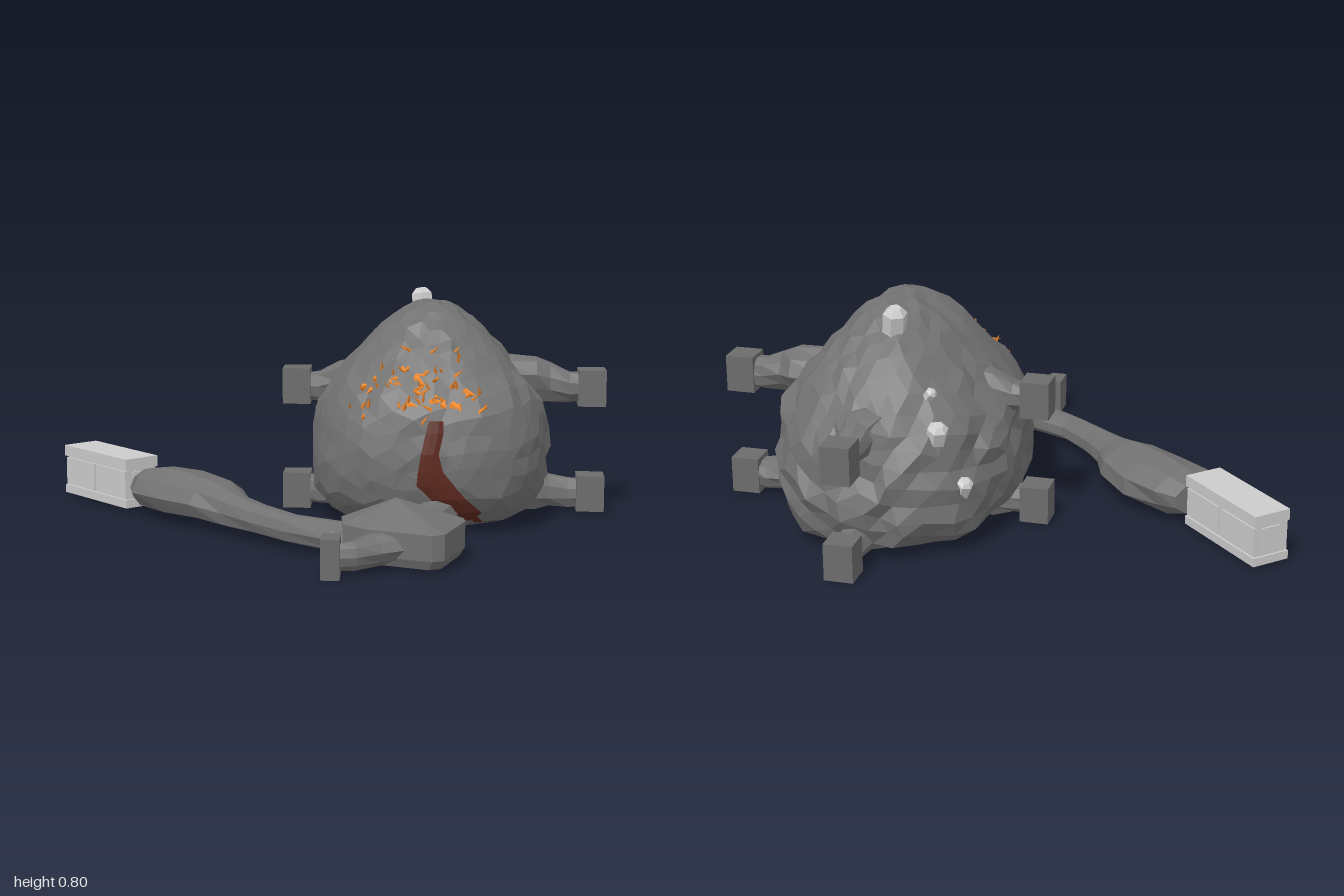
import * as THREE from 'three';
import { mergeVertices } from 'three/addons/utils/BufferGeometryUtils.js';
import { ConvexGeometry } from 'three/addons/geometries/ConvexGeometry.js';

const mat = (color) => new THREE.MeshStandardMaterial({ color, flatShading: true });
const ROCK = mat(0x727272), CUBE = mat(0x6c6c6c), PALE = mat(0xcccccc), RED = mat(0x5e2a20), ORANGE = mat(0xf08a30);

let seed = 7;
const rand = (a = 0, b = 1) => {
  seed = (seed * 16807) % 2147483647;
  return a + (b - a) * seed / 2147483647;
};

// Mound outline: [y, xMin, xMax, zBack, zFront]
const OUTLINE = [
  [0.02, 0.08, 0.65, -0.62, 0.15], [0.06, 0.0, 0.73, -0.7, 0.22], [0.13, -0.05, 0.78, -0.74, 0.27],
  [0.22, -0.06, 0.79, -0.74, 0.29], [0.32, -0.05, 0.79, -0.71, 0.29], [0.42, -0.03, 0.77, -0.68, 0.27],
  [0.5, 0.02, 0.72, -0.63, 0.23], [0.57, 0.08, 0.66, -0.57, 0.165], [0.64, 0.14, 0.6, -0.5, 0.1],
  [0.7, 0.2, 0.54, -0.43, 0.05], [0.75, 0.27, 0.47, -0.34, -0.01], [0.772, 0.32, 0.42, -0.25, -0.07],
];
// Squareness of the mound's plan, boxier at the front
const CZ = -0.18, FRONT_POW = 2.8, BACK_POW = 2.3;

function sliceAt(y) {
  let i = 0;
  while (i < OUTLINE.length - 2 && OUTLINE[i + 1][0] < y) i++;
  const a = OUTLINE[i], b = OUTLINE[i + 1];
  const t = THREE.MathUtils.clamp((y - a[0]) / (b[0] - a[0]), 0, 1);
  const [, x0, x1, z0, z1] = a.map((v, k) => v + (b[k] - v) * t);
  return { cx: (x0 + x1) / 2, hx: (x1 - x0) / 2, back: CZ - z0, front: z1 - CZ };
}

// Point on the mound at height y and angle a (a = PI / 2 is the front)
function moundPoint(y, a, grow = 1) {
  const s = sliceAt(y), c = Math.cos(a), n = Math.sin(a), pow = n > 0 ? FRONT_POW : BACK_POW;
  const r = grow / Math.pow(Math.abs(c) ** pow + Math.abs(n) ** pow, 1 / pow);
  return new THREE.Vector3(s.cx + s.hx * r * c, y, CZ + (n > 0 ? s.front : s.back) * r * n);
}

function frontZ(x, y) {
  const s = sliceAt(y), u = Math.min(Math.abs((x - s.cx) / s.hx), 0.98);
  return CZ + s.front * Math.pow(1 - u ** FRONT_POW, 1 / FRONT_POW);
}

// Faceted sphere moved onto the mound outline, rougher low down and at the back
function moundGeometry() {
  const ball = new THREE.IcosahedronGeometry(1, 7).rotateX(0.7).rotateZ(0.4);
  ball.deleteAttribute('normal');
  ball.deleteAttribute('uv');
  const g = mergeVertices(ball, 1e-3), pos = g.attributes.position, d = new THREE.Vector3();
  for (let i = 0; i < pos.count; i++) {
    d.fromBufferAttribute(pos, i);
    const a = Math.atan2(d.z, d.x), r = Math.hypot(d.x, d.z);
    const t = Math.max(0, (d.y + 0.75) / 1.75);
    const y = 0.02 + 0.752 * Math.min(t / 0.985, 1);
    const cap = Math.min(1, r / (d.y < 0 ? 0.66 : 0.23));
    const front = Math.sin(a) > 0.3;
    const amp = front ? 0.01 : y < 0.5 ? 0.035 : 0.016;
    const wave = 0.012 * Math.sin(5 * a + 9 * y) + 0.01 * Math.sin(9 * a - 17 * y);
    const p = moundPoint(y, a + rand(-0.035, 0.035), cap * (0.993 + wave * (front ? 0.4 : 1) + rand(-amp, amp)));
    if (t > 0) p.y += rand(-0.011, 0.008);
    pos.setXYZ(i, p.x, p.y, p.z);
  }
  g.computeVertexNormals();
  return g;
}

// Closed surface through a list of equal rings, with fan caps
function skin(rings) {
  const n = rings[0].length, pos = [], idx = [];
  rings.forEach((r) => r.forEach((p) => pos.push(p.x, p.y, p.z)));
  const centre = (r) => {
    const c = r.reduce((s, p) => s.add(p), new THREE.Vector3()).divideScalar(n);
    pos.push(c.x, c.y, c.z);
    return pos.length / 3 - 1;
  };
  const last = (rings.length - 1) * n, c0 = centre(rings[0]), c1 = centre(rings[rings.length - 1]);
  for (let j = 0; j < n; j++) {
    const k = (j + 1) % n;
    for (let i = 0; i < last; i += n) {
      idx.push(i + j, i + n + j, i + k, i + k, i + n + j, i + n + k);
    }
    idx.push(c0, j, k, c1, last + k, last + j);
  }
  const g = new THREE.BufferGeometry();
  g.setAttribute('position', new THREE.Float32BufferAttribute(pos, 3));
  g.setIndex(idx);
  g.computeVertexNormals();
  return g;
}

// Rough limb through rows of [x, y, z, halfWidth, halfHeight]
function limb(rows, jitter = 0.08, sides = 9) {
  return skin(rows.map(([x, y, z, w, h], i) => {
    const a = rows[Math.max(i - 1, 0)], b = rows[Math.min(i + 1, rows.length - 1)];
    const t = new THREE.Vector2(b[0] - a[0], b[2] - a[2]).normalize();
    return Array.from({ length: sides }, (_, j) => {
      const q = (j + 0.5) / sides * Math.PI * 2, r = 1 + rand(-jitter, jitter);
      const c = Math.cos(q) * w * r;
      return new THREE.Vector3(x - t.y * c, Math.max(0.015, y + Math.sin(q) * h * r), z + t.x * c);
    });
  }));
}

export function createModel() {
  seed = 7;
  const root = new THREE.Group();
  const add = (name, geo, material, parent = root) => {
    const m = new THREE.Mesh(geo, material);
    m.name = name;
    parent.add(m);
    return m;
  };
  const block = (name, material, size, at, parent) => {
    const m = add(name, new THREE.BoxGeometry(...size), material, parent);
    m.position.set(...at);
    return m;
  };

  add('mound', moundGeometry(), ROCK);

  // Stubs with end blocks on three sides, at two heights
  for (const [side, dx, dz, reach] of [['left', 1, 0, 0.575], ['right', -1, 0, 0.51], ['back', 0, -1, 0.615]]) {
    for (const [level, y] of [['Upper', 0.46], ['Lower', 0.075]]) {
      const dy = side === 'back' && level === 'Upper' ? -0.045 : 0;
      const at = (d, h, w, tall) => [0.385 + dx * d, y + dy + h, -0.225 + dz * d, w, tall];
      const lift = level === 'Upper' ? 0.025 : 0.01;
      add(side + level + 'Stub', limb([
        at(reach - 0.36, lift, 0.09, 0.085), at(reach - 0.21, lift, 0.09, 0.08), at(reach - 0.16, lift * 0.7, 0.062, 0.066),
        at(reach - 0.09, 0, 0.05, 0.055), at(reach - 0.02, 0, 0.045, 0.05)], 0.16), ROCK);
      block(side + level + 'Block', CUBE, [0.1, 0.13, 0.1], at(reach - 0.01, 0).slice(0, 3));
    }
  }

  // Neck, wedge-shaped joint and long arm
  add('neck', limb([[0.4, 0.09, 0.12, 0.11, 0.07], [0.39, 0.085, 0.25, 0.075, 0.055],
    [0.37, 0.08, 0.36, 0.055, 0.05], [0.35, 0.08, 0.45, 0.065, 0.055], [0.33, 0.08, 0.54, 0.11, 0.06]]), ROCK);
  const plan = [[0.09, 0.53], [0.22, 0.46], [0.42, 0.5], [0.49, 0.53], [0.495, 0.58], [0.43, 0.78], [0.39, 0.8], [0.18, 0.72], [0.1, 0.65]];
  const wedge = [new THREE.Vector3(0.27, 0.205, 0.55), new THREE.Vector3(0.38, 0.155, 0.72)];
  for (const [x, z] of plan) {
    wedge.push(new THREE.Vector3(x, 0.05, z), new THREE.Vector3(x, 0.135, z));
    wedge.push(new THREE.Vector3(0.3 + (x - 0.3) * 0.9, 0.02, 0.62 + (z - 0.62) * 0.9));
  }
  add('armJoint', new ConvexGeometry(wedge), ROCK);
  add('arm', limb([
    [0.2, 0.08, 0.59, 0.1, 0.06], [0.08, 0.075, 0.555, 0.075, 0.052], [-0.08, 0.075, 0.46, 0.052, 0.048],
    [-0.2, 0.08, 0.345, 0.058, 0.052], [-0.29, 0.085, 0.24, 0.072, 0.06], [-0.37, 0.1, 0.14, 0.13, 0.075],
    [-0.49, 0.1, 0.02, 0.145, 0.082], [-0.6, 0.1, -0.07, 0.13, 0.08], [-0.655, 0.1, -0.125, 0.085, 0.06]]), ROCK);
  add('jointStub', limb([[0.28, 0.08, 0.68, 0.09, 0.06], [0.2, 0.075, 0.755, 0.055, 0.05],
    [0.14, 0.07, 0.81, 0.036, 0.045], [0.08, 0.07, 0.825, 0.034, 0.045]]), ROCK);
  block('jointBlock', CUBE, [0.06, 0.13, 0.1], [0.073, 0.07, 0.828]);

  // Pale box at the end of the arm: recessed core inside a frame
  const box = new THREE.Group();
  box.name = 'endBox';
  box.position.set(-0.815, 0.11, -0.262);
  box.rotation.y = -0.8;
  root.add(box);
  block('core', PALE, [0.385, 0.17, 0.122], [0, 0, 0], box);
  block('lid', PALE, [0.4, 0.04, 0.14], [0, 0.07, 0], box);
  block('baseRail', PALE, [0.4, 0.03, 0.14], [0, -0.075, 0], box);
  for (const x of [-0.1, 0.1]) block('panel', PALE, [0.185, 0.1, 0.136], [x, -0.006, 0], box);
  block('endPlate', PALE, [0.396, 0.08, 0.07], [0, 0, 0], box);

  // Dark red streak down the front: [y, left, right]
  const streak = [[0.41, 0.37, 0.42], [0.37, 0.36, 0.42], [0.3, 0.345, 0.405], [0.24, 0.335, 0.42],
    [0.19, 0.33, 0.46], [0.14, 0.38, 0.5], [0.09, 0.43, 0.55], [0.04, 0.52, 0.6]];
  add('streak', skin(streak.map(([y, l, r]) => {
    const p = (t, out) => {
      const x = l + (r - l) * t;
      return new THREE.Vector3(x, y, frontZ(x, y) + out);
    };
    return [p(0.3, 0.008), p(0.7, 0.008), p(1, 0.003), p(0.5, -0.04), p(0, 0.003)];
  })), RED);

  // Stand a mesh's y axis along a direction
  const up = new THREE.Vector3(0, 1, 0);
  const aim = (m, dir) => m.quaternion.setFromUnitVectors(up, dir.normalize());

  // Orange shards on the upper front
  const shards = new THREE.Group();
  shards.name = 'shards';
  root.add(shards);
  for (let i = 0; i < 65; i++) {
    const y = 0.4 + 0.25 * (0.6 * rand() + 0.4 * rand()), spread = 0.36 - 0.9 * (y - 0.4);
    const x = 0.34 + spread * (rand(-1, 1) * 0.75 + rand(-1, 1) * 0.25);
    const m = add('shard', new THREE.ConeGeometry(1, 2, 4), ORANGE, shards);
    m.scale.set(rand(0.006, 0.01), rand(0.018, 0.034), rand(0.01, 0.016));
    m.position.set(x, y, frontZ(x, y) + 0.012);
    aim(m, new THREE.Vector3((x - 0.36) * 2 + rand(-0.8, 0.8), rand(-0.3, 1.1), 0.75));
  }

  // Pale crystals: a large one near the top, small ones at the back
  const crystal = (at, r, len, dir) => {
    const profile = [[0, -len], [r, -len], [r, len * 0.75], [r * 0.5, len], [0, len]];
    const prism = new THREE.LatheGeometry(profile.map(([a, b]) => new THREE.Vector2(a, b)), 6);
    const m = add('crystal', prism, PALE);
    m.position.copy(at);
    aim(m, new THREE.Vector3(...dir));
  };
  crystal(new THREE.Vector3(0.34, 0.712, -0.38), 0.042, 0.088, [-0.12, 0.95, -0.2]);
  crystal(moundPoint(0.42, Math.PI * 1.3, 0.95), 0.036, 0.06, [-0.2, 0.85, -0.3]);
  crystal(moundPoint(0.24, Math.PI * 1.24, 0.96), 0.03, 0.045, [-0.3, 0.7, -0.3]);
  crystal(moundPoint(0.54, Math.PI * 1.3, 0.97), 0.02, 0.035, [-0.4, 0.5, -0.2]);
  return root;
}
